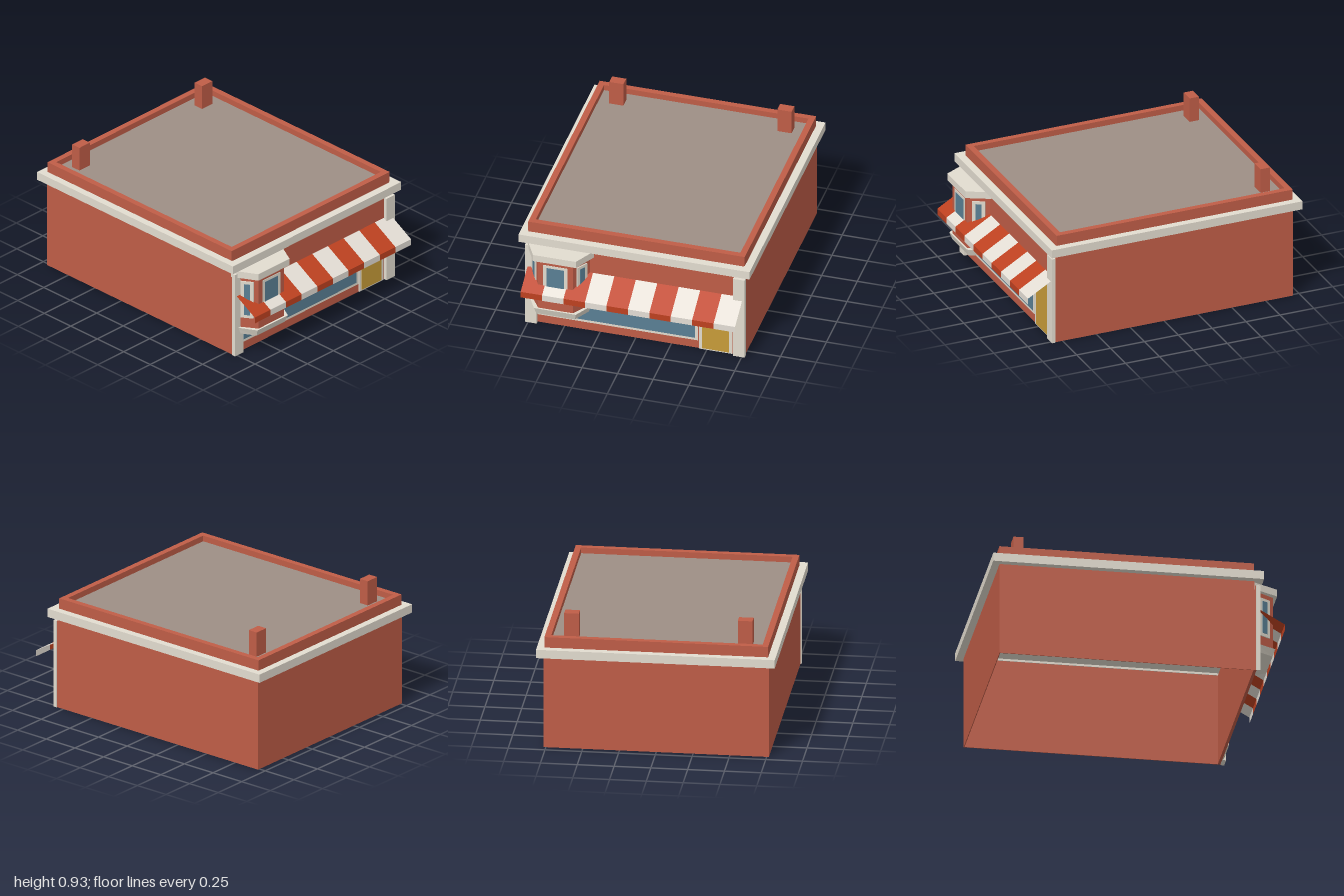
import * as THREE from 'three';

const mat = (name, color) => {
  const m = new THREE.MeshStandardMaterial({ color });
  m.name = name;
  return m;
};

export function createModel() {
  const root = new THREE.Group();
  root.name = 'shop';
  const brick = mat('brick', 0xbf5d47);
  const trim = mat('stone trim', 0xe2dccf);
  const glass = mat('glass', 0x597f94);
  const gold = mat('door yellow', 0xc79b39);
  const roofing = mat('roofing', 0x9d8e85);
  const red = mat('awning red', 0xbe4120);
  const cream = mat('awning cream', 0xe4ded5);
  red.side = cream.side = THREE.DoubleSide;

  const add = (name, geometry, material, parent = root) => {
    const mesh = new THREE.Mesh(geometry, material);
    mesh.name = name;
    parent.add(mesh);
    return mesh;
  };
  // Box given by its limits on each axis
  const box = (name, material, x0, x1, y0, y1, z0, z1, parent) => {
    const g = new THREE.BoxGeometry(x1 - x0, y1 - y0, z1 - z0);
    g.translate((x0 + x1) / 2, (y0 + y1) / 2, (z0 + z1) / 2);
    return add(name, g, material, parent);
  };
  // Upright extrusion of a plan given as [x, z] points, with an optional hole
  const upright = (plan, y0, y1, hole) => {
    const pts = (list) => list.map(([x, z]) => new THREE.Vector2(x, -z));
    const shape = new THREE.Shape(pts(plan));
    if (hole) shape.holes.push(new THREE.Path(pts(hole)));
    const g = new THREE.ExtrudeGeometry(shape, { depth: y1 - y0, bevelEnabled: false });
    return g.rotateX(-Math.PI / 2).translate(0, y0, 0);
  };
  const rect = (hx, z0, z1) => [[-hx, z1], [hx, z1], [hx, z0], [-hx, z0]];
  const ring = (name, material, hx, z0, z1, y0, y1, t) =>
    add(name, upright(rect(hx, z0, z1), y0, y1, rect(hx - t, z0 + t, z1 - t)), material);

  // Hollow shell, open underneath
  ring('walls', brick, 0.765, -0.95, 0.79, 0, 0.66, 0.005);
  ring('cornice', trim, 0.811, -1, 0.85, 0.66, 0.72, 0.055);
  box('ceiling', trim, -0.757, 0.757, 0.675, 0.715, -0.946, 0.796);
  ring('parapet', brick, 0.76, -0.95, 0.79, 0.712, 0.795, 0.042);
  box('roofDeck', roofing, -0.72, 0.72, 0.714, 0.754, -0.91, 0.75);
  for (const s of [-1, 1]) {
    box('chimney', brick, s * 0.59 - 0.05, s * 0.59 + 0.05, 0.75, 0.93, -0.835, -0.766);
    box('pilaster', trim, s * 0.73 - 0.041, s * 0.73 + 0.041, 0, 0.63, 0.803, 0.831);
  }

  // Shop front
  box('facadePanel', brick, -0.765, 0.765, 0, 0.63, 0.789, 0.805);
  box('shopWindowFrame', trim, -0.69, 0.437, 0.065, 0.41, 0.804, 0.812);
  box('shopWindowGlass', glass, -0.67, 0.417, 0.085, 0.39, 0.81, 0.816);
  box('doorFrame', trim, 0.447, 0.68, 0, 0.41, 0.804, 0.812);
  box('door', gold, 0.469, 0.657, 0.01, 0.39, 0.81, 0.816);

  // Bay window: three-sided plan against the front wall
  const bayX = -0.527, wallZ = 0.79;
  const bay = new THREE.Group();
  bay.name = 'bayWindow';
  bay.position.x = bayX;
  root.add(bay);
  const bayPlan = (back, front, z) => [[-back, wallZ], [-front, z], [front, z], [back, wallZ]];
  add('bayBody', upright(bayPlan(0.2145, 0.1225, 0.935), 0.2, 0.61), brick, bay);
  add('bayCap', upright(bayPlan(0.241, 0.15, 0.96), 0.6, 0.65), trim, bay);
  // Sill narrows towards its underside
  const sill = upright(bayPlan(0.232, 0.147, 0.948), 0.157, 0.208);
  const p = sill.attributes.position;
  for (let i = 0; i < p.count; i++) {
    if (p.getY(i) > 0.18) continue;
    p.setX(i, p.getX(i) * 0.92);
    p.setZ(i, wallZ + (p.getZ(i) - wallZ) * 0.89);
  }
  sill.computeVertexNormals();
  add('baySill', sill, trim, bay);

  // Framed window on each face of the bay
  const pane = (x, z, angle, frameW, glassW, depth) => {
    const g = new THREE.Group();
    g.name = 'bayPane';
    g.position.set(x, 0, z);
    g.rotation.y = angle;
    bay.add(g);
    box('paneFrame', trim, -frameW / 2, frameW / 2, 0.285, 0.565, -0.001, depth, g);
    box('paneGlass', glass, -glassW / 2, glassW / 2, 0.308, 0.545, depth - 0.002, depth + 0.002, g);
  };
  pane(0, 0.935, 0, 0.17, 0.125, 0.002);
  const angle = Math.atan2(0.145, 0.092);
  for (const s of [-1, 1]) pane(s * 0.1644, 0.869, s * angle, 0.09, 0.04, 0.008);

  // Striped awning: sloped sheet and hanging valance
  const awning = new THREE.Group();
  awning.name = 'awning';
  root.add(awning);
  const drop = 0.114, reach = 0.197, width = 0.1505;
  for (let i = 0; i < 10; i++) {
    const x = (i - 4.5) * width;
    const cloth = i % 2 ? cream : red;
    const slope = new THREE.PlaneGeometry(width, Math.hypot(drop, reach));
    slope.rotateX(-Math.atan2(reach, drop)).translate(x, 0.36 + drop / 2, 1 - reach / 2);
    add('awningStripe', slope, cloth, awning);
    add('valanceStripe', new THREE.PlaneGeometry(width, 0.045).translate(x, 0.3375, 1), cloth, awning);
  }
  return root;
}
